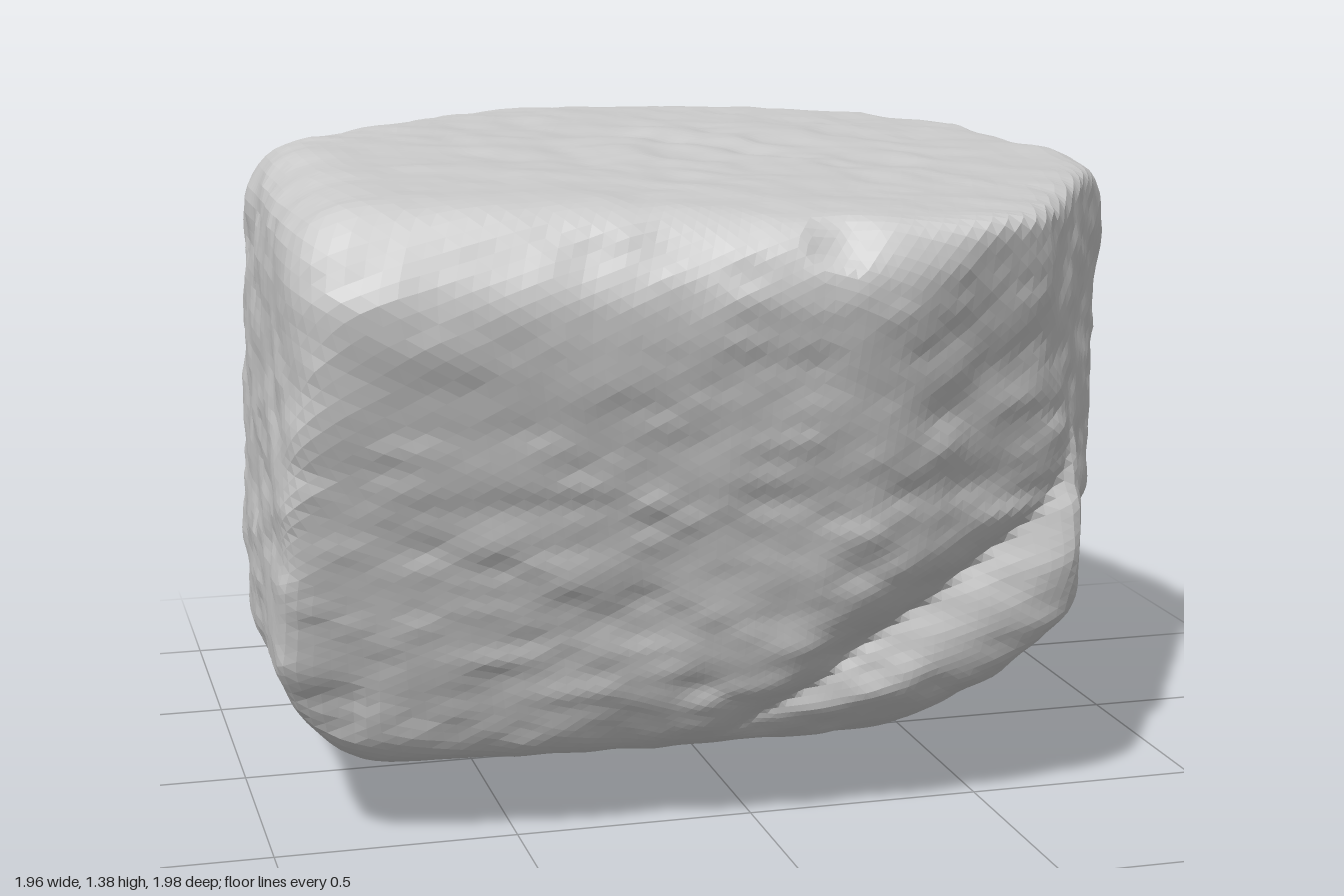
import * as THREE from 'three';

const CENTRE = new THREE.Vector3(0, 0.65, 0);

// Each plane is [nx, ny, nz, distance from CENTRE].
// Faces shared by the whole boulder
const SHARED = [
  [0.04, 1, 0.03, 0.69],          // top
  [-0.354, 0.87, -0.354, 1.0],    // top, dipping to the back -x corner
  [-1, 0.03, -0.04, 0.963],       // -x side
  [-0.943, 0, -0.334, 1.022],     // -x side, towards back
  [-0.566, 0, -0.82, 1.165],      // back -x corner
  [-0.83, 0, 0.55, 1.215],        // front -x corner
  [-0.05, 0.043, -1, 1.0],        // back
  [0.3, 0, -0.954, 0.965],        // back, towards +x
  [0.699, -0.153, -0.699, 0.95],  // back +x corner, tapering down
  [0.962, 0, -0.272, 0.962],      // +x side, towards back
  [-0.6, 0.8, 0, 1.09],           // worn upper edges
  [-0.13, 0.4, 0.91, 1.1],
  [-0.13, 0.75, 0.65, 1.12],
  [0.7, 0.7, 0, 1.1],
  [0, 0.75, -0.66, 1.1],
  [0, -1, 0, 0.64],               // underside
  [0, -0.978, 0.205, 0.58],
  [0, -0.8, -0.6, 0.905],         // lower bevels
  [0.65, -0.7, 0.25, 0.75],
  [0.85, -0.45, -0.25, 0.9],
  [-0.79, -0.61, 0, 0.97],
  [0, -0.75, 0.66, 0.71],
  [-0.354, -0.87, -0.354, 0.9],
  [0.354, -0.87, 0.354, 0.715],
  [-0.354, -0.87, 0.354, 0.87],
];
// Overhanging upper block
const UPPER = [...SHARED,
  [-0.12, -0.33, 0.935, 0.74],    // leaning front
  [0.37, -0.25, 0.9, 0.82],       // front corner
  [0.87, 0.06, 0.49, 0.88],       // +x front facet
  [0.8, -0.53, -0.2, 0.515],      // undercut along the +x crack
  [0.4, -0.65, 0.63, 0.645],      // undercut along the front crack
];
// Lower block that shows beneath the crack
const LOWER = [...SHARED,
  [0.96, 0.1, 0.25, 0.795],       // +x face
  [1, 0, 0, 0.83],
  [0.1, -0.3, 0.95, 0.765],       // front face
  [-0.27, 0.2, 0.94, 0.485],      // sloping ledge
];
// Small chips: x, y, z, radius, depth
const CHIPS = [
  [0.04, 1.27, 0.93, 0.07, 0.02],
  [0.76, 1.24, -0.66, 0.09, 0.03],
  [-0.9, 0.29, 0.6, 0.1, 0.02],
];

// Distance along a direction to a convex block with slightly rounded edges
function reach(dir, planes, sharpness = 42) {
  let sum = 0;
  for (const [x, y, z, d] of planes) {
    const t = (x * dir.x + y * dir.y + z * dir.z) / d;
    if (t > 0) sum += t ** sharpness;
  }
  return sum ** (-1 / sharpness);
}

// Seeded value noise in the range -1 to 1
function hash(x, y, z) {
  let h = Math.imul(x, 374761393) ^ Math.imul(y, 668265263) ^ Math.imul(z, 1274126177);
  h = Math.imul(h ^ (h >>> 13), 1103515245);
  return ((h ^ (h >>> 16)) >>> 0) / 2147483648 - 1;
}
function noise(x, y, z) {
  const cell = [x, y, z].map(Math.floor);
  const f = [x - cell[0], y - cell[1], z - cell[2]].map((t) => t * t * (3 - 2 * t));
  let sum = 0;
  for (let i = 0; i < 8; i++) {
    const o = [i & 1, (i >> 1) & 1, i >> 2];
    const weight = o.reduce((w, bit, k) => w * (bit ? f[k] : 1 - f[k]), 1);
    sum += weight * hash(cell[0] + o[0], cell[1] + o[1], cell[2] + o[2]);
  }
  return sum;
}

export function createModel() {
  const geometry = new THREE.IcosahedronGeometry(1, 48);
  const pos = geometry.attributes.position;
  const dir = new THREE.Vector3();
  const p = new THREE.Vector3();

  for (let i = 0; i < pos.count; i++) {
    dir.fromBufferAttribute(pos, i).normalize();
    let r = Math.max(reach(dir, UPPER), reach(dir, LOWER));
    p.copy(dir).multiplyScalar(r).add(CENTRE);
    // rough surface, stretched sideways like layered stone
    r += 0.006 * noise(p.x * 3, p.y * 4, p.z * 3)
      + 0.009 * noise(p.x * 7 + 9, p.y * 12, p.z * 7)
      + 0.006 * noise(p.x * 14, p.y * 24 + 5, p.z * 14);
    for (const [x, y, z, radius, depth] of CHIPS) {
      const d = Math.hypot(p.x - x, p.y - y, p.z - z) / radius;
      if (d < 1) r -= depth * (1 - d * d);
    }
    p.copy(dir).multiplyScalar(r).add(CENTRE);
    pos.setXYZ(i, p.x, p.y, p.z);
  }

  // Rest the lowest point on the ground
  geometry.computeBoundingBox();
  geometry.translate(0, -geometry.boundingBox.min.y, 0);
  geometry.computeVertexNormals();

  const boulder = new THREE.Mesh(
    geometry,
    new THREE.MeshStandardMaterial({ color: 0xcccccc, flatShading: true }),
  );
  boulder.name = 'boulder';
  const group = new THREE.Group();
  group.name = 'rock';
  group.add(boulder);
  return group;
}
